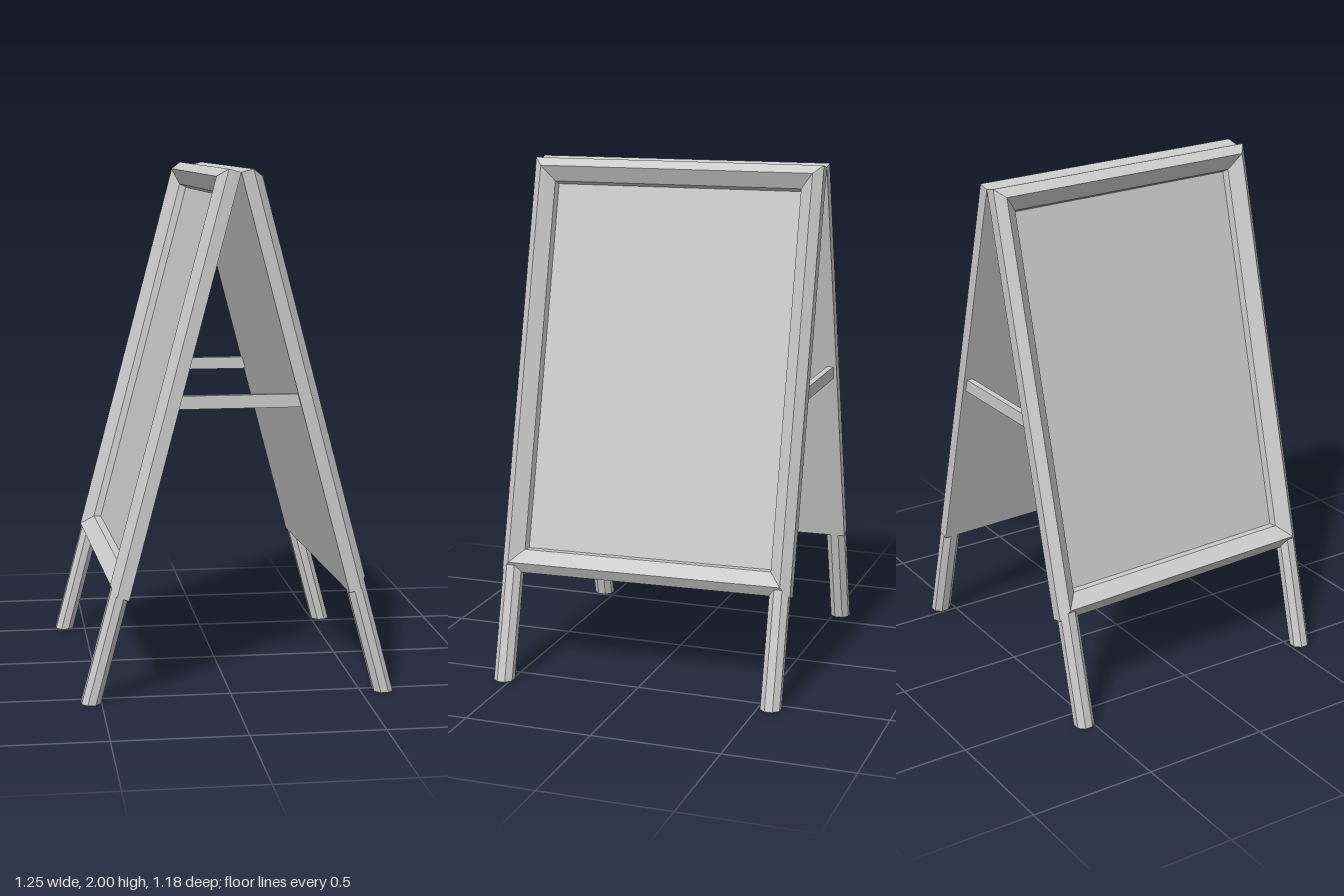
import * as THREE from 'three';

const TILT = Math.atan(0.265); // lean of each board
const APEX = 1.988;            // height of the inner top edges
const LENGTH = 1.642;          // board height along its slope
const HALF = 0.582;            // half width of a board
const RIM = 0.09;              // width of the frame rails

const material = new THREE.MeshStandardMaterial({ color: 0xcccccc, flatShading: true });

// The stand is slightly racked: both ends and both boards are a little out of square
const rack = new THREE.Matrix4().set(
  1, 0, 0.043, 0,
  0, 1, 0, 0,
  -0.017, 0, 1, 0,
  0, 0, 0, 1);

// Mitred frame: one rail profile (inset, depth) swept round four corners.
// Local axes: x = depth outward, y = up the slope, z = across.
function frameGeometry() {
  const profile = [[0, 0], [0, 0.047], [0.034, 0.079], [0.084, 0.038], [RIM, 0.008], [RIM, 0]];
  const corners = [[0, 1], [0, -1], [1, -1], [1, 1]];
  const point = (k, j) => {
    const [low, side] = corners[k % 4];
    const [w, d] = profile[j % profile.length];
    const inset = w * 1.08;
    return [d, low ? -LENGTH + inset : -inset, side * (HALF - w)];
  };
  const pos = [];
  for (let k = 0; k < 4; k++) {
    for (let j = 0; j < profile.length; j++) {
      const a = point(k, j), b = point(k + 1, j), c = point(k + 1, j + 1), e = point(k, j + 1);
      pos.push(...a, ...e, ...c, ...a, ...c, ...b);
    }
  }
  const g = new THREE.BufferGeometry();
  g.setAttribute('position', new THREE.Float32BufferAttribute(pos, 3));
  g.computeVertexNormals();
  return g;
}

// Thin sheet, flush with the back of the frame
function sheetGeometry() {
  const inset = RIM * 1.08;
  return new THREE.BoxGeometry(0.01, LENGTH - 2 * inset, 2 * (HALF - RIM))
    .translate(0.005, -LENGTH / 2, 0);
}

// Eight-sided leg in line with the frame, its foot cut level with the ground
function legGeometry(side) {
  const g = new THREE.CylinderGeometry(1, 1, 1, 8);
  g.rotateY(Math.PI / 8);
  g.scale(0.038, 1, 0.041);
  g.translate(0.036, 0, side * (HALF - 0.042));
  const p = g.attributes.position;
  for (let i = 0; i < p.count; i++) {
    const foot = -(APEX + p.getX(i) * Math.sin(TILT)) / Math.cos(TILT);
    p.setY(i, p.getY(i) > 0 ? -LENGTH + 0.04 : foot);
  }
  g.computeVertexNormals();
  return g;
}

export function createModel() {
  const model = new THREE.Group();
  model.name = 'aFrameStand';

  const add = (parent, name, geometry, matrix) => {
    const mesh = new THREE.Mesh(geometry.applyMatrix4(matrix), material);
    mesh.name = name;
    parent.add(mesh);
  };

  // Two boards, the second turned half round
  for (const [name, turn] of [['left', 0], ['right', Math.PI]]) {
    const board = new THREE.Group();
    board.name = name + 'Board';
    const place = rack.clone()
      .multiply(new THREE.Matrix4().makeRotationY(turn))
      .multiply(new THREE.Matrix4().makeTranslation(0, APEX, 0))
      .multiply(new THREE.Matrix4().makeRotationZ(TILT));
    add(board, 'frame', frameGeometry(), place);
    add(board, 'sheet', sheetGeometry(), place);
    for (const side of [1, -1]) add(board, 'leg', legGeometry(side), place);
    model.add(board);
  }

  // Cross braces, one at each end
  for (const [name, side] of [['frontBrace', 1], ['backBrace', -1]]) {
    const brace = new THREE.BoxGeometry(0.46, 0.05, 0.025);
    brace.translate(0, 1.143, side * (HALF - 0.025));
    add(model, name, brace, rack);
  }
  return model;
}
